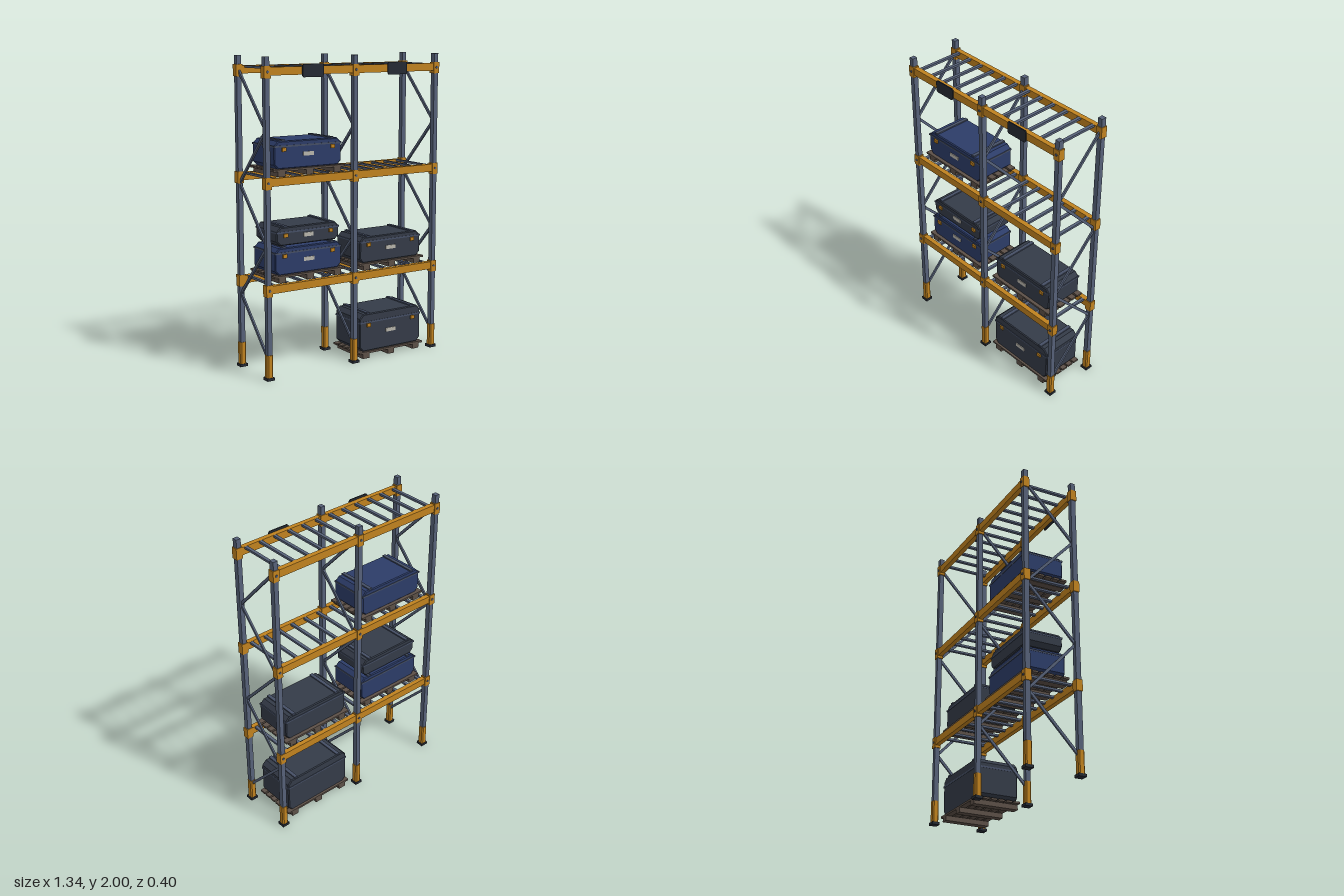
import * as THREE from 'three';

const mat = (name, color) => {
  const m = new THREE.MeshStandardMaterial({ color });
  m.name = name;
  return m;
};

export function createModel() {
  const slate = mat('slate steel', 0x566178);
  const ochre = mat('ochre steel', 0xc0821f);
  const blue = mat('blue case', 0x2c3c68);
  const charcoal = mat('charcoal case', 0x343b48);
  const trim = mat('case trim', 0x454f65);
  const wood = mat('pallet wood', 0x5c5047);
  const dark = mat('dark plate', 0x252a33);
  const pale = mat('label grey', 0xb8b5ac);

  const model = new THREE.Group();
  model.name = 'storageRack';

  const add = (parent, name, geo, material, x = 0, y = 0, z = 0) => {
    const m = new THREE.Mesh(geo, material);
    m.name = name;
    m.position.set(x, y, z);
    parent.add(m);
    return m;
  };
  const box = (parent, name, material, w, h, d, x, y, z) =>
    add(parent, name, new THREE.BoxGeometry(w, h, d), material, x, y, z);
  const group = (name, x, y, z) => {
    const g = new THREE.Group();
    g.name = name;
    g.position.set(x, y, z);
    model.add(g);
    return g;
  };

  // Rectangle with cut corners, centred on x, from y0 to y1
  const cutRect = (w, y0, y1, cutLow, cutHigh) => {
    const h = w / 2;
    return new THREE.Shape([
      [-h + cutLow, y0], [h - cutLow, y0], [h, y0 + cutLow], [h, y1 - cutHigh],
      [h - cutHigh, y1], [-h + cutHigh, y1], [-h, y1 - cutHigh], [-h, y0 + cutLow],
    ].map(([x, y]) => new THREE.Vector2(x, y)));
  };

  const postXs = [-0.642, 0, 0.642];
  const postZ = 0.173;
  const levels = [0.576, 1.243, 1.912];

  // Posts with feet and guards
  const guardGeo = new THREE.ExtrudeGeometry(cutRect(0.043, -0.0215, 0.0215, 0.008, 0.008),
    { depth: 0.145, bevelEnabled: false });
  guardGeo.rotateX(-Math.PI / 2);
  for (const x of postXs) {
    for (const s of [-1, 1]) {
      const z = s * postZ;
      box(model, 'post', slate, 0.032, 1.99, 0.034, x, 1.005, z);
      box(model, 'footPlate', dark, 0.052, 0.018, 0.052, x, 0.009, z);
      add(model, 'postGuard', guardGeo, ochre, x, 0.017, z);
      // Beam connectors with bolts
      for (const y of levels) {
        box(model, 'beamConnector', ochre, 0.045, 0.074, 0.043, x, y - 0.005, z);
        const bolt = add(model, 'bolt', new THREE.CylinderGeometry(0.008, 0.008, 0.006, 10),
          slate, x, y - 0.003, z + s * 0.0235);
        bolt.rotation.x = Math.PI / 2;
      }
    }
    // Zigzag bracing between front and back posts
    const step = 0.3567;
    for (let i = 0; i < 5; i++) {
      const s = i % 2 ? -1 : 1;
      const dz = -s * 0.334;
      const brace = box(model, 'brace', slate, 0.012, 0.018, Math.hypot(dz, step),
        x, 0.13 + step * (i + 0.5), 0);
      brace.rotation.x = -Math.atan2(step, dz);
    }
  }

  // Beams and shelf slats
  for (const y of levels) {
    for (const s of [-1, 1]) box(model, 'beam', ochre, 1.284, 0.05, 0.032, 0, y, s * postZ);
    for (const bay of [-1, 1]) {
      for (let i = 0; i < 6; i++) {
        box(model, 'shelfSlat', slate, 0.021, 0.014, 0.334, bay * (0.055 + i * 0.107), y + 0.0175, 0);
      }
    }
  }

  // Blank bay signs with cut corners
  const signGeo = new THREE.ExtrudeGeometry(cutRect(0.152, -0.04, 0.04, 0.009, 0.009),
    { depth: 0.008, bevelEnabled: false });
  for (const s of [-1, 1]) add(model, 'baySign', signGeo, dark, s * 0.32, 1.911, 0.189);

  // Pallet: three runners under six boards
  const pallet = (x, y) => {
    const g = group('pallet', x, y, 0);
    for (let i = -1; i <= 1; i++) box(g, 'runner', wood, 0.052, 0.032, 0.306, i * 0.206, 0.016, 0);
    for (let i = 0; i < 6; i++) {
      box(g, 'deckBoard', wood, 0.525, 0.013, 0.041, 0, 0.0385, (i - 2.5) * 0.053);
    }
  };
  pallet(-0.32, 1.268);
  pallet(-0.32, 0.601);
  pallet(0.32, 0.601);
  pallet(0.32, 0);

  // Case: cut-cornered shell, seam band, straps, latches and label
  const makeCase = (shell, x, y, w, h, d, seam, label) => {
    const g = group('case', x, y, 0);
    const b = 0.006;
    const geo = new THREE.ExtrudeGeometry(cutRect(w - 2 * b, b, h - b, 0.024, 0.026),
      { depth: d - 2 * b, bevelThickness: b, bevelSize: b, bevelSegments: 1 });
    geo.translate(0, 0, -d / 2 + b);
    add(g, 'shell', geo, shell);
    box(g, 'seamBand', trim, w + 0.003, 0.011, d + 0.005, 0, seam, 0);
    for (const s of [-1, 1]) {
      box(g, 'strap', trim, 0.024, 0.012, d - 0.006, s * w * 0.362, h + 0.002, 0);
      box(g, 'latch', ochre, 0.03, 0.024, 0.009, s * w * 0.362, seam - 0.02, d / 2 + 0.0045);
    }
    box(g, 'label', pale, w * 0.155, 0.025, 0.005, 0, label, d / 2 + 0.0025);
  };
  makeCase(blue, -0.32, 1.312, 0.492, 0.172, 0.268, 0.14, 0.086);
  makeCase(blue, -0.32, 0.645, 0.492, 0.172, 0.268, 0.14, 0.086);
  makeCase(charcoal, -0.32, 0.83, 0.462, 0.117, 0.256, 0.084, 0.056);
  makeCase(charcoal, 0.32, 0.645, 0.492, 0.172, 0.268, 0.14, 0.086);
  makeCase(charcoal, 0.32, 0.045, 0.5, 0.255, 0.284, 0.198, 0.122);

  return model;
}
